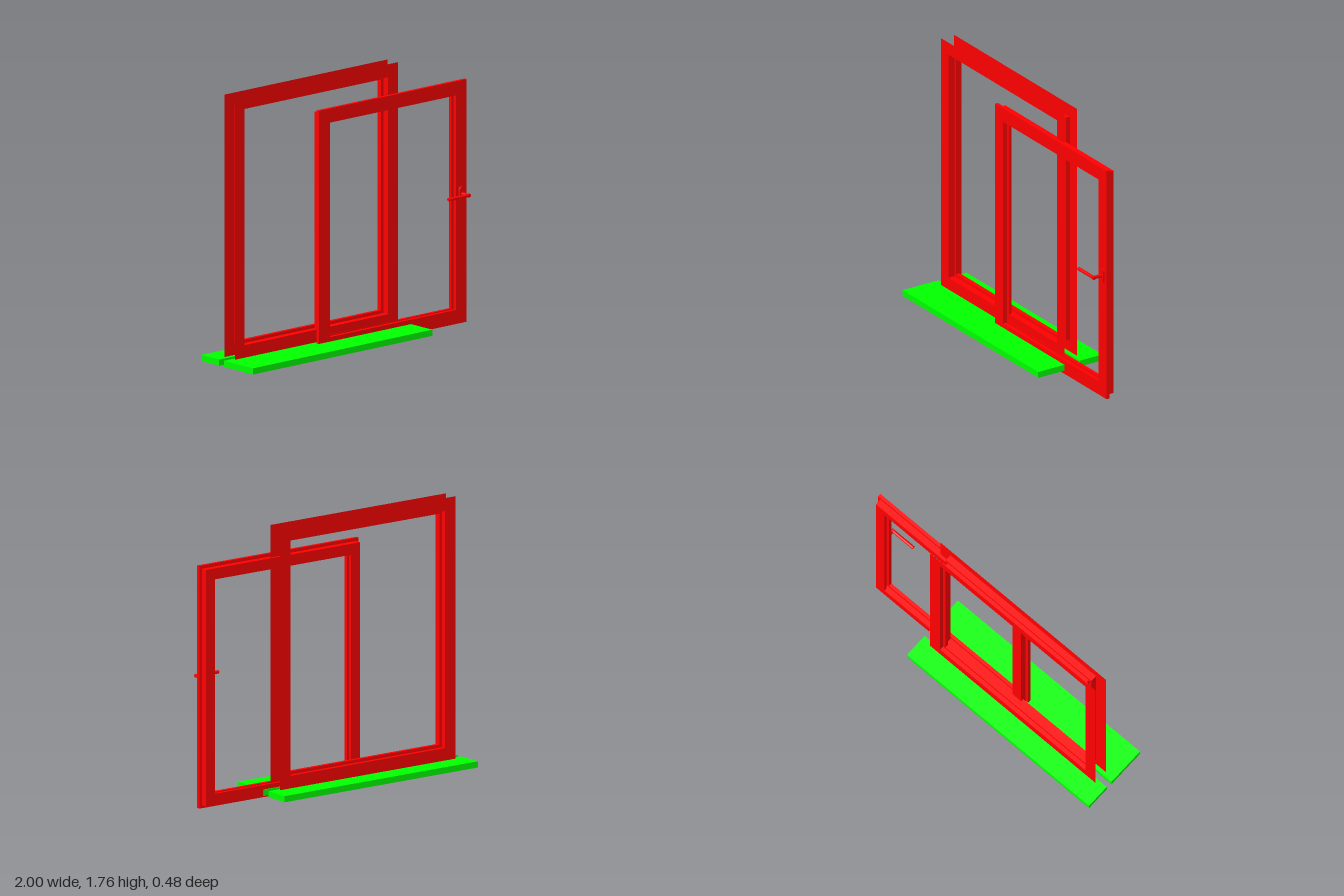
import * as THREE from 'three';

const red = new THREE.MeshStandardMaterial({ color: 0xff0000, side: THREE.DoubleSide });
const green = new THREE.MeshStandardMaterial({ color: 0x00ff00 });

// Sweeps a profile of [inset, z] points around a rectangle with mitred corners.
function sweepFrame([x0, x1, y0, y1], profile) {
  const corner = ([inset, z], k) => [
    k === 0 || k === 3 ? x0 + inset : x1 - inset,
    k < 2 ? y0 + inset : y1 - inset,
    z,
  ];
  const positions = [];
  for (let i = 0; i < profile.length - 1; i++) {
    for (let k = 0; k < 4; k++) {
      const n = (k + 1) % 4;
      const a = corner(profile[i], k), b = corner(profile[i], n);
      const c = corner(profile[i + 1], n), d = corner(profile[i + 1], k);
      positions.push(...a, ...b, ...c, ...a, ...c, ...d);
    }
  }
  const geometry = new THREE.BufferGeometry();
  geometry.setAttribute('position', new THREE.Float32BufferAttribute(positions, 3));
  geometry.computeVertexNormals();
  return geometry;
}

function addMesh(parent, name, geometry, material, x = 0, y = 0, z = 0) {
  const mesh = new THREE.Mesh(geometry, material);
  mesh.name = name;
  mesh.position.set(x, y, z);
  parent.add(mesh);
  return mesh;
}

export function createModel() {
  const model = new THREE.Group();
  model.name = 'slidingWindow';

  // Fixed frame: thin front and back faces joined by a stepped reveal, open outside
  addMesh(model, 'fixedFrame', sweepFrame([-0.93, 0.455, 0.06, 1.757], [
    [0, -0.003], [0.083, -0.003], [0.083, -0.047], [0.103, -0.047],
    [0.103, -0.072], [0.083, -0.072], [0.083, -0.1], [0, -0.1],
  ]), red);

  // Sliding sash: front flange, narrower body and a glazing groove in the reveal
  addMesh(model, 'slidingSash', sweepFrame([-0.257, 0.998, 0, 1.567], [
    [0, 0.043], [0.091, 0.043], [0.091, 0.02], [0.071, 0.02], [0.071, 0],
    [0.091, 0], [0.091, -0.022], [0.02, -0.022], [0.02, 0.021], [0, 0.021], [0, 0.043],
  ]), red);

  // Inner and outer sills
  const addSill = (name, zBack, zFront) => addMesh(model, name,
    new THREE.BoxGeometry(1.525, 0.04, zFront - zBack), green,
    -0.2375, 0.042, (zBack + zFront) / 2);
  addSill('innerSill', -0.03, 0.242);
  addSill('outerSill', -0.242, -0.073);

  // Handle: rounded plate, neck and lever
  const handle = new THREE.Group();
  handle.name = 'handle';
  handle.position.set(0.952, 0.835, 0.043);
  const plate = new THREE.Shape();
  plate.absarc(0, 0.027, 0.022, 0, Math.PI);
  plate.absarc(0, -0.027, 0.022, Math.PI, Math.PI * 2);
  plate.closePath();
  addMesh(handle, 'handlePlate',
    new THREE.ExtrudeGeometry(plate, { depth: 0.011, bevelEnabled: false, curveSegments: 16 }), red);
  const rod = (length) => new THREE.CylinderGeometry(0.011, 0.011, length, 20);
  addMesh(handle, 'handleNeck', rod(0.077), red, 0, 0, 0.0385).rotation.x = Math.PI / 2;
  addMesh(handle, 'handleLever', rod(0.182), red, -0.08, 0, 0.067).rotation.z = Math.PI / 2;
  model.add(handle);

  return model;
}
